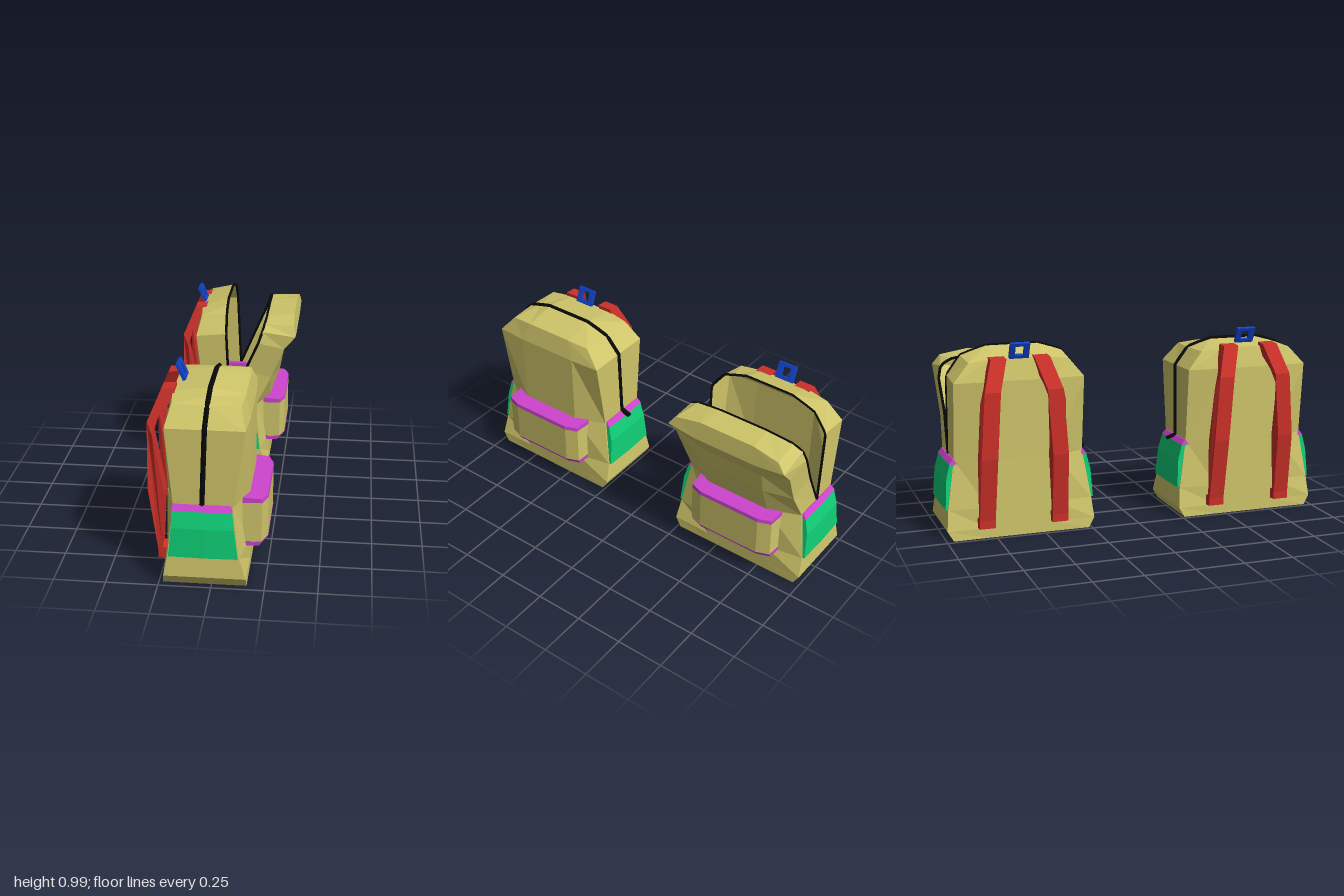
import * as THREE from 'three';

const mat = (color) => new THREE.MeshStandardMaterial({ color, flatShading: true, side: THREE.DoubleSide });
const CLOTH = mat(0xcfc56a), BLACK = mat(0x080808), RED = mat(0xcc3029);
const GREEN = mat(0x10cf76), TRIM = mat(0xcc44cc), BLUE = mat(0x1144cc);

function add(parent, name, geometry, material) {
  const mesh = new THREE.Mesh(geometry, material);
  mesh.name = name;
  parent.add(mesh);
  return mesh;
}

// Skin over cross-sections; each row is a list of [x, y, z]
function loft(rows, closed = false, caps = false) {
  const n = rows[0].length, index = [];
  for (let r = 0; r < rows.length - 1; r++) {
    for (let i = 0; i < (closed ? n : n - 1); i++) {
      const a = r * n + i, b = r * n + (i + 1) % n;
      index.push(a, a + n, b, b, a + n, b + n);
    }
  }
  if (caps) {
    const t = (rows.length - 1) * n;
    for (let i = 1; i < n - 1; i++) index.push(0, i, i + 1, t, t + i + 1, t + i);
  }
  const g = new THREE.BufferGeometry();
  g.setAttribute('position', new THREE.Float32BufferAttribute(rows.flat(2), 3));
  g.setIndex(index);
  const out = g.toNonIndexed();
  out.computeVertexNormals();
  return out;
}

// Complete a half section by mirroring it in z
const mirror = (row) => [...row, ...row.slice().reverse().map(([x, y, z]) => [x, y, -z])];

// Half sections of the upper shells: rim, corner, middle
const FRONT = [
  [[-0.045, 0.4, 0.33], [0.1, 0.4, 0.33], [0.165, 0.4, 0.17]],
  [[-0.03, 0.78, 0.33], [0.155, 0.78, 0.33], [0.165, 0.78, 0.17]],
  [[-0.025, 0.87, 0.26], [0.13, 0.87, 0.25], [0.14, 0.88, 0.13]],
  [[-0.025, 0.87, 0.26], [-0.025, 0.89, 0.2], [-0.025, 0.91, 0.13]],
];
const BACK = [
  [[-0.045, 0.4, 0.33], [-0.18, 0.4, 0.33], [-0.225, 0.4, 0.17]],
  [[-0.03, 0.78, 0.33], [-0.215, 0.78, 0.33], [-0.225, 0.78, 0.17]],
  [[-0.025, 0.87, 0.26], [-0.19, 0.87, 0.25], [-0.2, 0.885, 0.13]],
  FRONT[3],
];
const FLAP = [
  FRONT[0],
  [[0.04, 0.6, 0.325], [0.18, 0.56, 0.32], [0.22, 0.56, 0.17]],
  [[0.11, 0.76, 0.335], [0.25, 0.73, 0.33], [0.24, 0.67, 0.17]],
  [[0.13, 0.82, 0.32], [0.31, 0.8, 0.33], [0.31, 0.78, 0.17]],
  [[0.14, 0.85, 0.27], [0.3, 0.85, 0.29], [0.295, 0.875, 0.15]],
  [[0.14, 0.85, 0.27], [0.145, 0.86, 0.2], [0.145, 0.865, 0.13]],
];

// The open back shell leans away at its rim
const lean = ([x, y, z]) => {
  const t = (y - 0.4) / 0.5 * (x > -0.1 ? 1 : 0.35);
  return [x - 0.045 * t, y + 0.035 * t, z];
};

// Zip running along the rim of a shell
function zip(rows, radius) {
  const half = [...rows.slice(0, -1).map((r) => r[0]), ...rows.at(-1).slice(1)];
  const pts = mirror(half).map((p) => new THREE.Vector3(...p));
  const path = new THREE.CurvePath();
  for (let i = 1; i < pts.length; i++) path.add(new THREE.LineCurve3(pts[i - 1], pts[i]));
  return new THREE.TubeGeometry(path, 60, radius, 4);
}

// Side profile of a strap, thickened and splayed outwards towards the bottom
function strapGeometry(side) {
  const profile = [[-0.19, 0.905], [-0.25, 0.9], [-0.315, 0.75], [-0.315, 0.42], [-0.27, 0.1], [-0.27, 0.06],
    [-0.215, 0.055], [-0.215, 0.1], [-0.25, 0.12], [-0.235, 0.4], [-0.288, 0.69], [-0.265, 0.77], [-0.19, 0.86]];
  const g = new THREE.ExtrudeGeometry(new THREE.Shape(profile.map((p) => new THREE.Vector2(...p))),
    { depth: 0.08, bevelEnabled: false });
  const p = g.attributes.position;
  for (let i = 0; i < p.count; i++) {
    const y = p.getY(i);
    const out = y > 0.7 ? 0.175 - 0.065 * Math.min(1, (y - 0.7) / 0.18) : 0.175 + 0.02 * (0.7 - y);
    p.setZ(i, p.getZ(i) - 0.04 + side * out);
  }
  g.computeVertexNormals();
  return g;
}

// Loop handle with a window
function handleGeometry() {
  const s = new THREE.Shape([[-0.05, 0], [0.05, 0], [0.05, 0.085], [-0.05, 0.085]].map((p) => new THREE.Vector2(...p)));
  s.holes.push(new THREE.Path([[-0.022, 0.018], [-0.022, 0.068], [0.022, 0.068], [0.022, 0.018]]
    .map((p) => new THREE.Vector2(...p))));
  return new THREE.ExtrudeGeometry(s, { depth: 0.016, bevelEnabled: false }).translate(0, 0, -0.008)
    .rotateY(Math.PI / 2).rotateZ(0.42);
}

function backpack(name, open) {
  const bag = new THREE.Group();
  bag.name = name;

  // Lower body: y, half depth, back corner x, front corner x
  const base = [[0, 0.35, -0.23, 0.165], [0.05, 0.38, -0.225, 0.163], [0.155, 0.37, -0.205, 0.13], [0.4, 0.33, -0.18, 0.1]]
    .map(([y, z, b, f]) => mirror([[b, y, z], [f, y, z], [0.165, y, 0.17]])
      .concat([[b, y, -z], [-0.228, y, -0.17], [-0.228, y, 0.17]])
      .filter((p, i) => i !== 0 && i !== 5).concat([[b, y, z]]));
  add(bag, 'lowerBody', loft(base, true), CLOTH);
  add(bag, 'bottom', loft([base[0], base[0].map(() => [-0.03, 0, 0])], true), CLOTH);

  // Upper shells and zips
  const back = open ? BACK.map((r) => r.map(lean)) : BACK;
  const front = open ? FLAP : FRONT;
  add(bag, 'backShell', loft(back.map(mirror)), CLOTH);
  add(bag, 'frontShell', loft(front.map(mirror)), CLOTH);
  add(bag, 'zip', zip(back, open ? 0.007 : 0.012), BLACK);
  if (open) add(bag, 'flapZip', zip(front, 0.007), BLACK);
  const side = open ? 1 : -1;
  const pull = add(bag, 'zipPull', new THREE.BoxGeometry(0.025, 0.012, 0.065), BLACK);
  pull.position.set(-0.045, 0.4, side * 0.352);
  pull.rotation.x = side * 0.35;

  // Side pockets with a trimmed top edge
  for (const s of [1, -1]) {
    const ring = ([y, z, b, f]) => [[b, y, s * 0.3], [b, y, s * z], [-0.03, y, s * (z + 0.004)], [f, y, s * z], [f, y, s * 0.3]];
    add(bag, 'sidePocket', loft([[0.155, 0.381, -0.2, 0.125], [0.3, 0.373, -0.186, 0.105],
      [0.38, 0.352, -0.183, 0.095]].map(ring), true, true), GREEN);
    add(bag, 'sidePocketTrim', loft([[0.38, 0.354, -0.185, 0.097], [0.405, 0.335, -0.18, 0.09]].map(ring), true, true), TRIM);
  }

  // Front pocket between two trims
  const pocketRow = ([y, x, yIn = y, z = 0.245]) => mirror([[0.1, yIn, z], [x - 0.025, y, z - 0.008], [x, y, z - 0.075]]);
  add(bag, 'frontPocket', loft([[0.175, 0.25], [0.385, 0.25]].map(pocketRow), true), CLOTH);
  add(bag, 'frontPocketTopTrim', loft([[0.38, 0.252], [0.4, 0.25, 0.412]].map(pocketRow), true, true), TRIM);
  add(bag, 'frontPocketBottomTrim', loft([[0.155, 0.238], [0.178, 0.252]].map(pocketRow), true, true), TRIM);

  // Shoulder straps and handle
  for (const s of [1, -1]) add(bag, 'shoulderStrap', strapGeometry(s), RED);
  add(bag, 'handle', handleGeometry(), BLUE).position.set(open ? -0.21 : -0.157, open ? 0.897 : 0.905, 0);
  return bag;
}

export function createModel() {
  const model = new THREE.Group();
  model.name = 'backpacks';
  const closed = backpack('closedBackpack', false);
  const open = backpack('openBackpack', true);
  closed.position.z = 0.615;
  open.position.z = -0.615;
  model.add(closed, open);
  return model;
}
